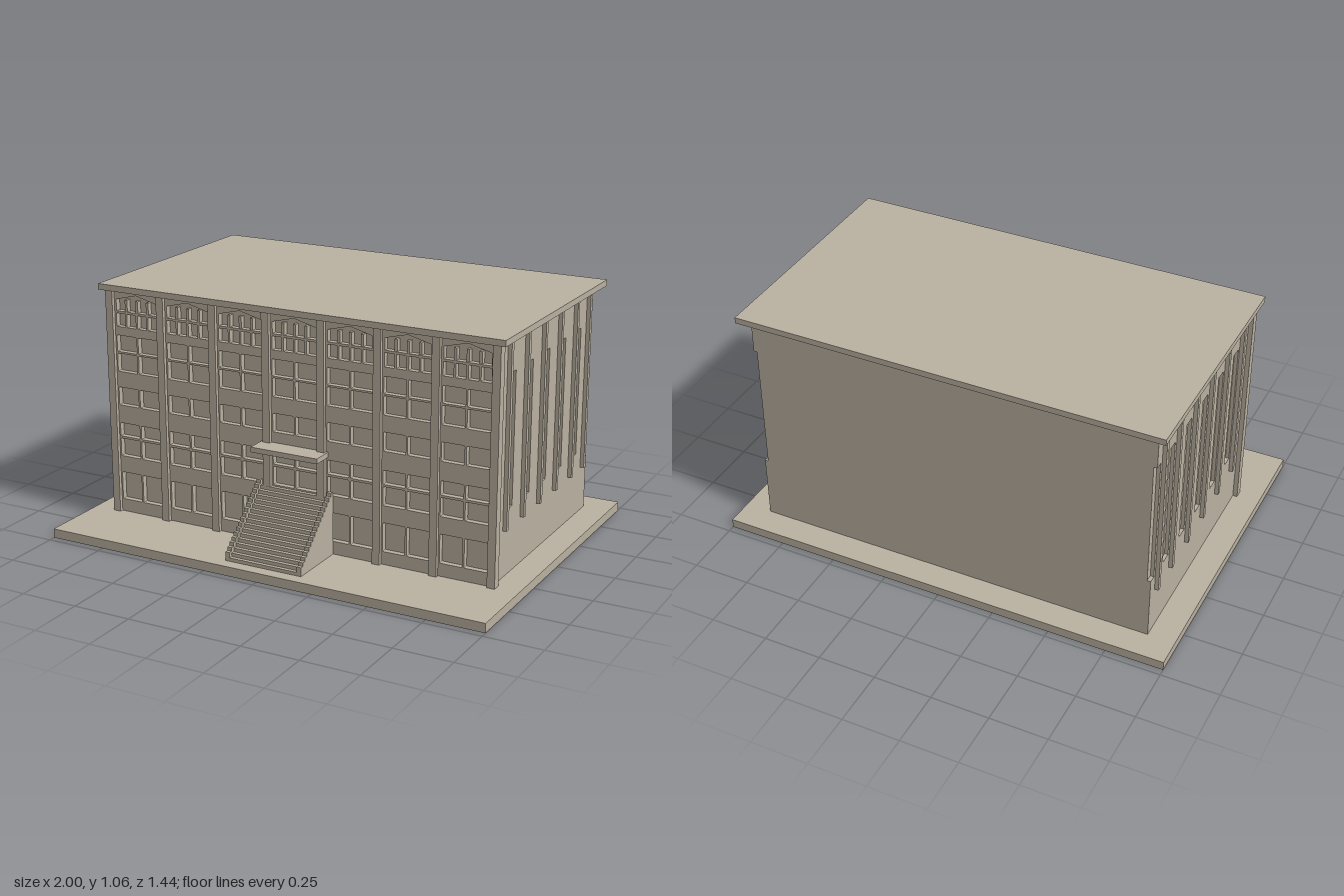
import * as THREE from 'three';

const stone = new THREE.MeshStandardMaterial({ color: 0xbab1a1 });
stone.name = 'stone';

export function createModel() {
  const model = new THREE.Group();
  model.name = 'building';

  const add = (name, geometry) => {
    const mesh = new THREE.Mesh(geometry, stone);
    mesh.name = name;
    model.add(mesh);
    return mesh;
  };
  // box given by its extents on each axis
  const box = (name, x0, x1, y0, y1, z0, z1) => {
    const g = new THREE.BoxGeometry(x1 - x0, y1 - y0, z1 - z0);
    g.translate((x0 + x1) / 2, (y0 + y1) / 2, (z0 + z1) / 2);
    return add(name, g);
  };
  const polygon = (points, Type = THREE.Shape) => new Type(points.map(([x, y]) => new THREE.Vector2(x, y)));
  // window opening with slightly rounded corners
  const opening = (x0, x1, y0, y1, r = 0.005) => {
    const p = new THREE.Path();
    p.moveTo(x0 + r, y0);
    p.lineTo(x1 - r, y0).quadraticCurveTo(x1, y0, x1, y0 + r);
    p.lineTo(x1, y1 - r).quadraticCurveTo(x1, y1, x1 - r, y1);
    p.lineTo(x0 + r, y1).quadraticCurveTo(x0, y1, x0, y1 - r);
    p.lineTo(x0, y0 + r).quadraticCurveTo(x0, y0, x0 + r, y0);
    return p;
  };
  const extrude = (shape, depth) =>
    new THREE.ExtrudeGeometry(shape, { depth, bevelEnabled: false, curveSegments: 2 });
  // extrude a (z, y) outline along x, from x0 to x1
  const extrudeAcross = (shape, x0, x1) =>
    extrude(shape, x1 - x0).rotateY(-Math.PI / 2).translate(x1, 0, 0);

  const bottom = 0.04, top = 1.03, pitch = 0.253;

  // ground slab, solid core and flat roof
  box('groundSlab', -1, 1, 0, bottom, -0.72, 0.72);
  box('core', -0.868, 0.868, bottom, top, -0.6, 0.375);
  box('roof', -0.927, 0.927, top, 1.056, -0.645, 0.43);

  // front wall with recessed windows in seven bays
  const front = polygon([[-0.883, bottom], [0.883, bottom], [0.883, top], [-0.883, top]]);
  const rows = [[0.096, 0.22], [0.294, 0.374], [0.384, 0.444], [0.524, 0.604], [0.674, 0.754], [0.762, 0.834]];
  for (let bay = -3; bay <= 3; bay++) {
    const c = bay * pitch;
    rows.forEach(([y0, y1], row) => {
      if (bay === 0 && row === 0) return; // behind the stairs
      front.holes.push(opening(c - 0.103, c - 0.004, y0, y1), opening(c + 0.004, c + 0.103, y0, y1));
    });
    // row of four small windows
    for (let i = 0; i < 4; i++) {
      const x = c + (i - 1.5) * 0.053;
      front.holes.push(opening(x - 0.022, x + 0.022, 0.872, 0.93, 0.003));
    }
    // gabled top opening with three bars
    front.holes.push(polygon(
      [[c - 0.1, 0.94], [c + 0.1, 0.94], [c + 0.1, 0.99], [c, 1.015], [c - 0.1, 0.99]], THREE.Path));
    for (let i = -1; i <= 1; i++) {
      const x = c + i * 0.053;
      box('gableBar', x - 0.006, x + 0.006, 0.94, 0.99, 0.37, 0.397);
    }
  }
  add('frontWall', extrude(front, 0.025).translate(0, 0, 0.375));

  // front columns
  for (let i = 0; i < 8; i++) {
    const x = (i - 3.5) * pitch;
    box('frontColumn', x - 0.017, x + 0.017, bottom, top, 0.378, 0.416);
  }

  // side walls with tall recesses, the last one open at the rear corner
  const side = polygon([[-0.6, bottom], [0.375, bottom], [0.375, top], [-0.6, top],
    [-0.6, 0.88], [-0.568, 0.88], [-0.568, 0.32], [-0.6, 0.32]]);
  for (let i = 0; i < 5; i++) {
    const z = 0.244 - i * 0.173;
    side.holes.push(opening(z - 0.027, z + 0.027, 0.32, 0.88, 0.001));
  }
  const pilasters = [0.295, 0.122, -0.05, -0.223, -0.396, -0.543];
  for (const s of [-1, 1]) {
    const [x0, x1] = s > 0 ? [0.868, 0.883] : [-0.883, -0.868];
    add('sideWall', extrudeAcross(side, x0, x1));
    for (const z of pilasters) {
      const p = box('sidePilaster', -0.01, 0.01, 0.242, top, z - 0.01, z + 0.01);
      p.position.x = s * 0.89;
    }
  }

  // entrance stairs between stepped parapets
  const stairs = (base, count = 16, run = 0.0167, rise = 0.0155) => {
    const pts = [[0.4, bottom], [0.667, bottom]];
    for (let i = 0; i < count; i++) {
      const z = 0.667 - i * run, y = base + i * rise;
      pts.push([z, y], [Math.max(z - run, 0.4), y]);
    }
    return polygon(pts);
  };
  add('steps', extrudeAcross(stairs(0.055), -0.156, 0.156));
  add('rightParapet', extrudeAcross(stairs(0.078), -0.176, -0.156));
  add('leftParapet', extrudeAcross(stairs(0.078), 0.156, 0.176));

  // canopy over the entrance
  box('canopy', -0.154, 0.154, 0.456, 0.478, 0.4, 0.494);

  return model;
}
